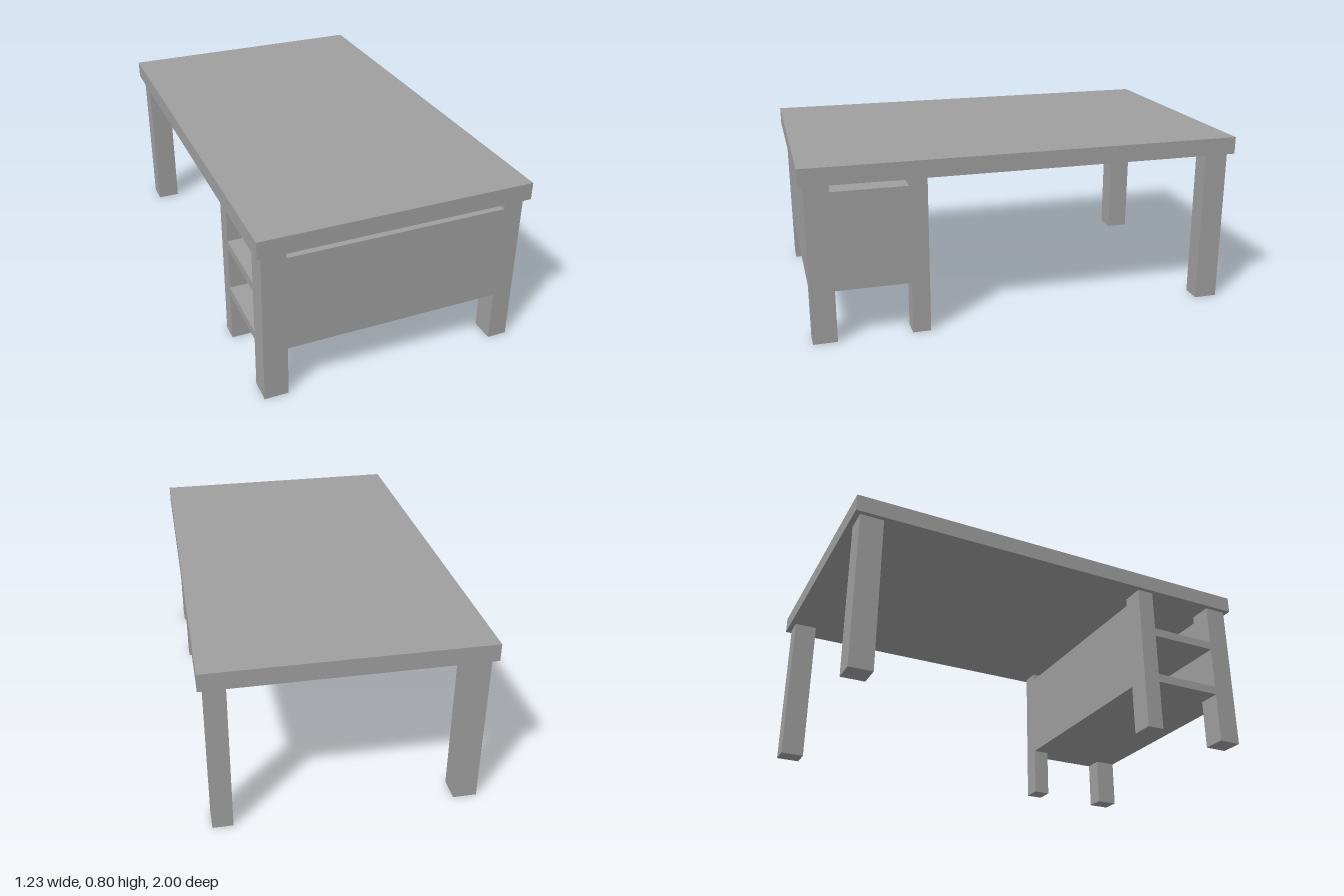
import * as THREE from 'three';

const material = new THREE.MeshStandardMaterial({ color: 0x9f9f9f, flatShading: true });

// Box given by its extents along each axis
function block(name, [x0, x1], [y0, y1], [z0, z1]) {
  const mesh = new THREE.Mesh(new THREE.BoxGeometry(x1 - x0, y1 - y0, z1 - z0), material);
  mesh.name = name;
  mesh.position.set((x0 + x1) / 2, (y0 + y1) / 2, (z0 + z1) / 2);
  return mesh;
}

export function createModel() {
  const desk = new THREE.Group();
  desk.name = 'desk';

  const topBottom = 0.724;
  const legX = { right: [-0.595, -0.487], left: [0.502, 0.593] };
  const legZ = { front: [0.87, 0.978], middle: [0.453, 0.535], back: [-0.975, -0.867] };
  const panelY = [0.241, 0.688];

  // Table top
  desk.add(block('tableTop', [-0.617, 0.617], [topBottom, 0.803], [-1, 1]));

  // Six legs: four under the cabinet, two at the back
  for (const [row, z] of Object.entries(legZ)) {
    for (const [side, x] of Object.entries(legX)) {
      desk.add(block(`${row}${side === 'left' ? 'Left' : 'Right'}Leg`, x, [0, topBottom], z));
    }
  }

  // Cabinet walls, flush with the legs and stopping short of the top
  const cabinet = new THREE.Group();
  cabinet.name = 'cabinet';
  const betweenX = [legX.right[1], legX.left[0]];
  const betweenZ = [legZ.middle[1], legZ.front[0]];
  cabinet.add(block('frontPanel', betweenX, panelY, legZ.front));
  cabinet.add(block('backPanel', betweenX, panelY, legZ.middle));
  cabinet.add(block('sidePanel', legX.left, panelY, betweenZ));

  // Shelves, open towards the right side
  const shelfX = [legX.right[0], legX.left[0]];
  cabinet.add(block('bottomShelf', shelfX, [panelY[0], 0.282], betweenZ));
  cabinet.add(block('middleShelf', shelfX, [0.487, 0.528], betweenZ));
  desk.add(cabinet);

  return desk;
}
